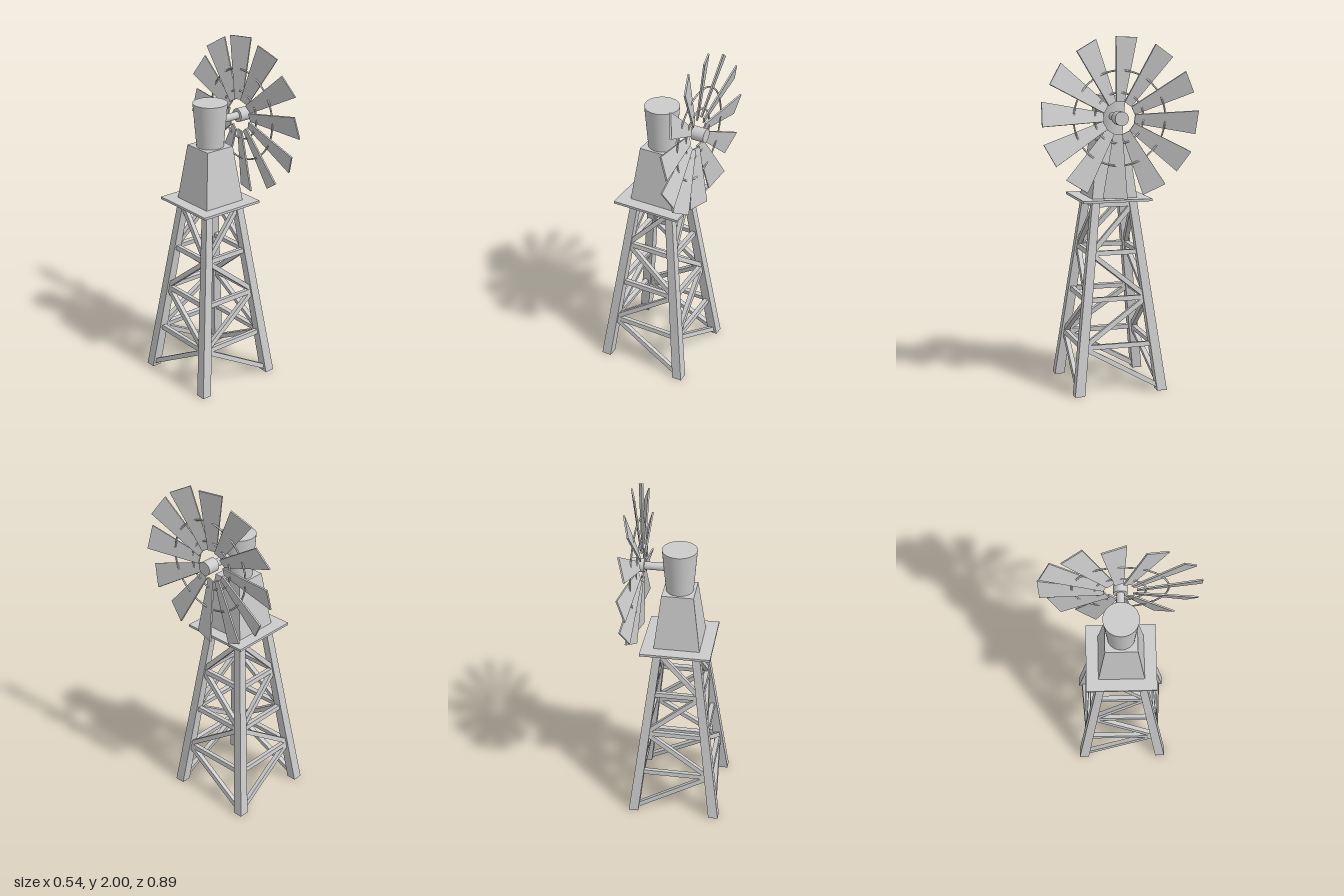
import * as THREE from 'three';

const grey = new THREE.MeshStandardMaterial({ color: 0xcccccc });
const flat = new THREE.MeshStandardMaterial({ color: 0xcccccc, flatShading: true });
const LEG_TOP = 1.08;

function add(parent, name, geometry, material = flat) {
  const mesh = new THREE.Mesh(geometry, material);
  mesh.name = name;
  parent.add(mesh);
  return mesh;
}

// Box whose ends at y0 and y1 are rectangles [cx, cz, width, depth]
function taperedBox(y0, y1, a, b) {
  const g = new THREE.BoxGeometry(1, 1, 1);
  const p = g.attributes.position;
  for (let i = 0; i < p.count; i++) {
    const up = p.getY(i) > 0;
    const [cx, cz, w, d] = up ? b : a;
    p.setXYZ(i, cx + p.getX(i) * w, up ? y1 : y0, cz + p.getZ(i) * d);
  }
  g.computeVertexNormals();
  return g;
}

// Beam between two points, its depth turned towards the given direction
function beam(from, to, thickness, depth, facing) {
  const along = to.clone().sub(from);
  const x = along.clone().normalize();
  const y = facing.clone().cross(x).normalize();
  const z = x.clone().cross(y);
  const g = new THREE.BoxGeometry(along.length(), thickness, depth);
  g.applyMatrix4(new THREE.Matrix4().makeBasis(x, y, z).setPosition(from.clone().add(to).multiplyScalar(0.5)));
  return g;
}

// Distance of a leg's centre line from the axis at a given height
const legAt = (y) => 0.2415 - 0.134 * (y / LEG_TOP);

// One braced side, facing +z: rails and a zigzag of diagonals
function bracing(name) {
  const side = new THREE.Group();
  side.name = name;
  const out = new THREE.Vector3(0, 0.12, 1).normalize();
  const levels = [0.015, 0.265, 0.53, 0.79, 1.06];
  const point = (sign, y) => new THREE.Vector3(sign * legAt(y), y, legAt(y));
  levels.forEach((y, i) => {
    if (i === 0) return;
    add(side, 'rail', beam(point(-1, y), point(1, y), 0.027, 0.027, out));
    const s = i % 2 ? 1 : -1;
    add(side, 'diagonal', beam(point(s, levels[i - 1]), point(-s, y), 0.027, 0.027, out));
  });
  return side;
}

function tower() {
  const group = new THREE.Group();
  group.name = 'tower';
  for (const sx of [-1, 1]) for (const sz of [-1, 1]) {
    const a = legAt(0), b = legAt(LEG_TOP);
    add(group, 'leg', taperedBox(0, LEG_TOP, [sx * a, sz * a, 0.057, 0.057], [sx * b, sz * b, 0.045, 0.045]));
  }
  // Opposite sides mirror each other
  for (const s of [1, -1]) {
    const faceZ = bracing(s > 0 ? 'frontBracing' : 'backBracing');
    faceZ.scale.z = s;
    const faceX = new THREE.Group();
    faceX.name = s > 0 ? 'leftBracing' : 'rightBracing';
    const turned = bracing('sideBracing');
    turned.rotation.y = Math.PI / 2;
    faceX.add(turned);
    faceX.scale.x = s;
    group.add(faceZ, faceX);
  }
  return group;
}

// Wind wheel turning about the x axis
function wheel() {
  const group = new THREE.Group();
  group.name = 'windWheel';
  group.position.y = 1.555;

  const shaft = add(group, 'shaft', new THREE.CylinderGeometry(0.022, 0.022, 0.17, 24), grey);
  shaft.rotation.z = Math.PI / 2;
  shaft.position.x = 0.135;
  const hub = add(group, 'hub', new THREE.CylinderGeometry(0.039, 0.039, 0.075, 24), grey);
  hub.rotation.z = Math.PI / 2;
  hub.position.x = 0.2325;

  // Pitched, slightly coned blades, wider at the tip
  const blade = taperedBox(0.09, 0.446, [0, 0, 0.009, 0.052], [0, 0, 0.009, 0.138]);
  blade.rotateY(0.29);
  blade.rotateZ(-0.09);
  blade.translate(0.205, 0, 0);
  for (let i = 0; i < 12; i++) {
    add(group, 'blade', blade).rotation.x = -0.07 + (i * Math.PI) / 6;
  }

  // Rings tying the blades together
  for (const r of [0.14, 0.262]) {
    const ring = add(group, 'bladeRing', new THREE.TorusGeometry(r, 0.005, 8, 64), grey);
    ring.rotation.y = Math.PI / 2;
    ring.position.x = 0.205 + r * 0.09;
  }
  return group;
}

export function createModel() {
  const model = new THREE.Group();
  model.name = 'windPump';
  model.add(tower());

  const platform = add(model, 'platform', new THREE.BoxGeometry(0.4, 0.014, 0.4));
  platform.position.y = 1.09;
  add(model, 'cabin', taperedBox(1.095, 1.42, [0, 0, 0.262, 0.262], [0, 0, 0.18, 0.18]));
  const cap = add(model, 'cap', new THREE.CylinderGeometry(0.098, 0.077, 0.25, 40), grey);
  cap.position.y = 1.545;

  model.add(wheel());
  return model;
}
